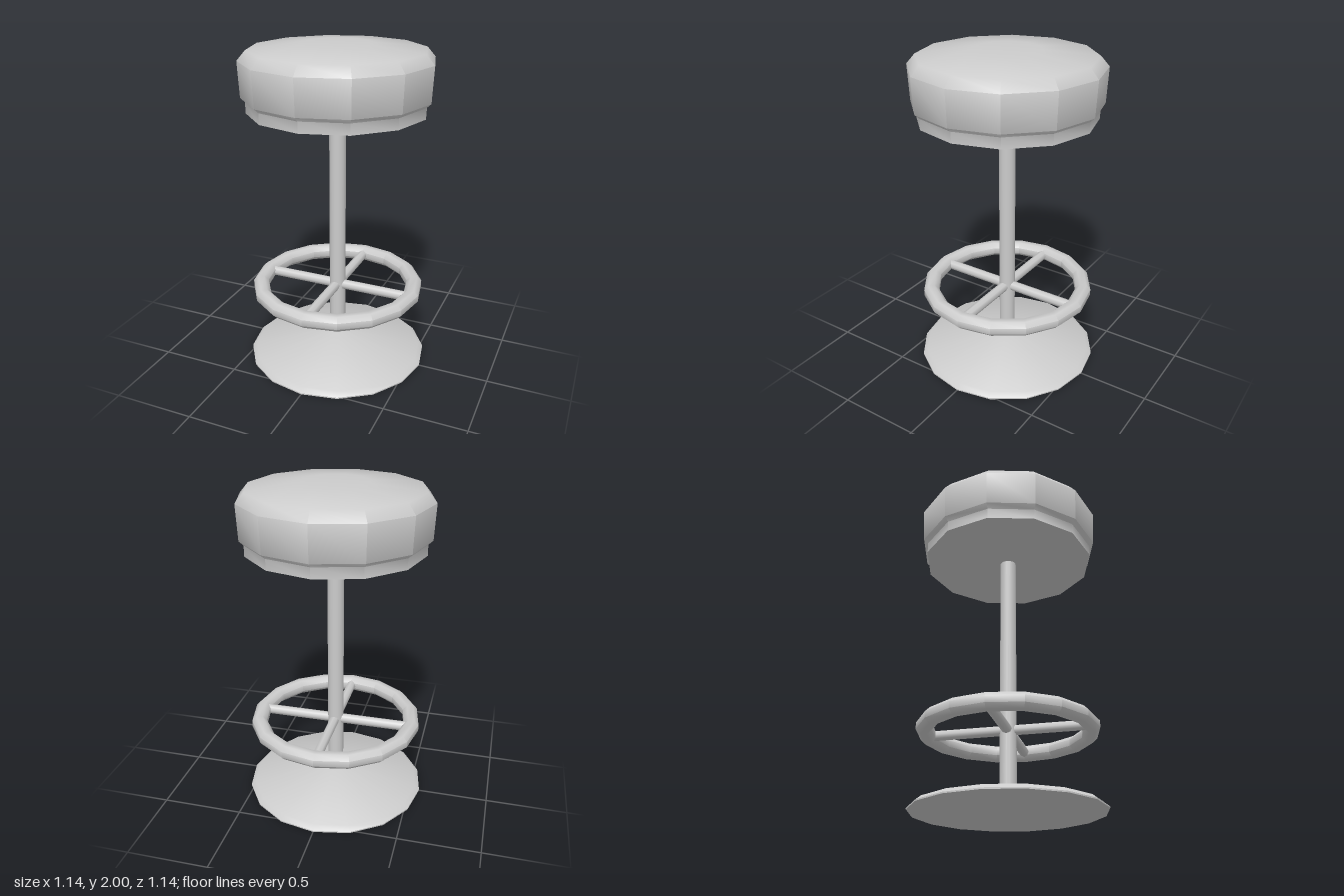
import * as THREE from 'three';
import { toCreasedNormals } from 'three/addons/utils/BufferGeometryUtils.js';

const material = new THREE.MeshStandardMaterial({ color: 0xcccccc });

function addMesh(parent, name, geometry) {
  const mesh = new THREE.Mesh(geometry, material);
  mesh.name = name;
  parent.add(mesh);
  return mesh;
}

// Turned part from [radius, height] pairs, listed from the bottom up
function turned(profile, sides) {
  const points = profile.map(([r, y]) => new THREE.Vector2(r, y));
  return toCreasedNormals(new THREE.LatheGeometry(points, sides), 0.85);
}

export function createModel() {
  const stool = new THREE.Group();
  stool.name = 'barStool';

  // Flared floor base with a thin rim
  addMesh(stool, 'base', turned([
    [0, 0], [0.565, 0], [0.565, 0.008], [0.535, 0.032], [0.05, 0.14], [0, 0.14],
  ], 16));

  // Central pole
  const pole = addMesh(stool, 'pole', new THREE.CylinderGeometry(0.05, 0.05, 1.5, 16));
  pole.position.y = 0.87;

  // Foot ring with an octagonal section, flat on top
  const footRest = new THREE.Group();
  footRest.name = 'footRest';
  footRest.position.y = 0.478;
  stool.add(footRest);
  const section = [];
  for (let i = 0; i <= 8; i++) {
    const a = (i + 0.5) * Math.PI / 4;
    section.push([0.49 + 0.051 * Math.cos(a), 0.051 * Math.sin(a)]);
  }
  addMesh(footRest, 'footRing', turned(section, 16));

  // Four spokes from the pole to the ring
  for (let i = 0; i < 4; i++) {
    const spoke = new THREE.CylinderGeometry(0.031, 0.031, 0.42, 8);
    spoke.rotateZ(Math.PI / 2).translate(0.25, 0, 0);
    addMesh(footRest, 'spoke', spoke).rotation.y = i * Math.PI / 2;
  }

  // Padded round seat with a recessed band underneath
  addMesh(stool, 'seat', turned([
    [0, 1.61], [0.533, 1.61], [0.533, 1.675], [0.56, 1.7], [0.57, 1.91],
    [0.52, 1.968], [0.2, 2], [0, 2],
  ], 12));

  return stool;
}
